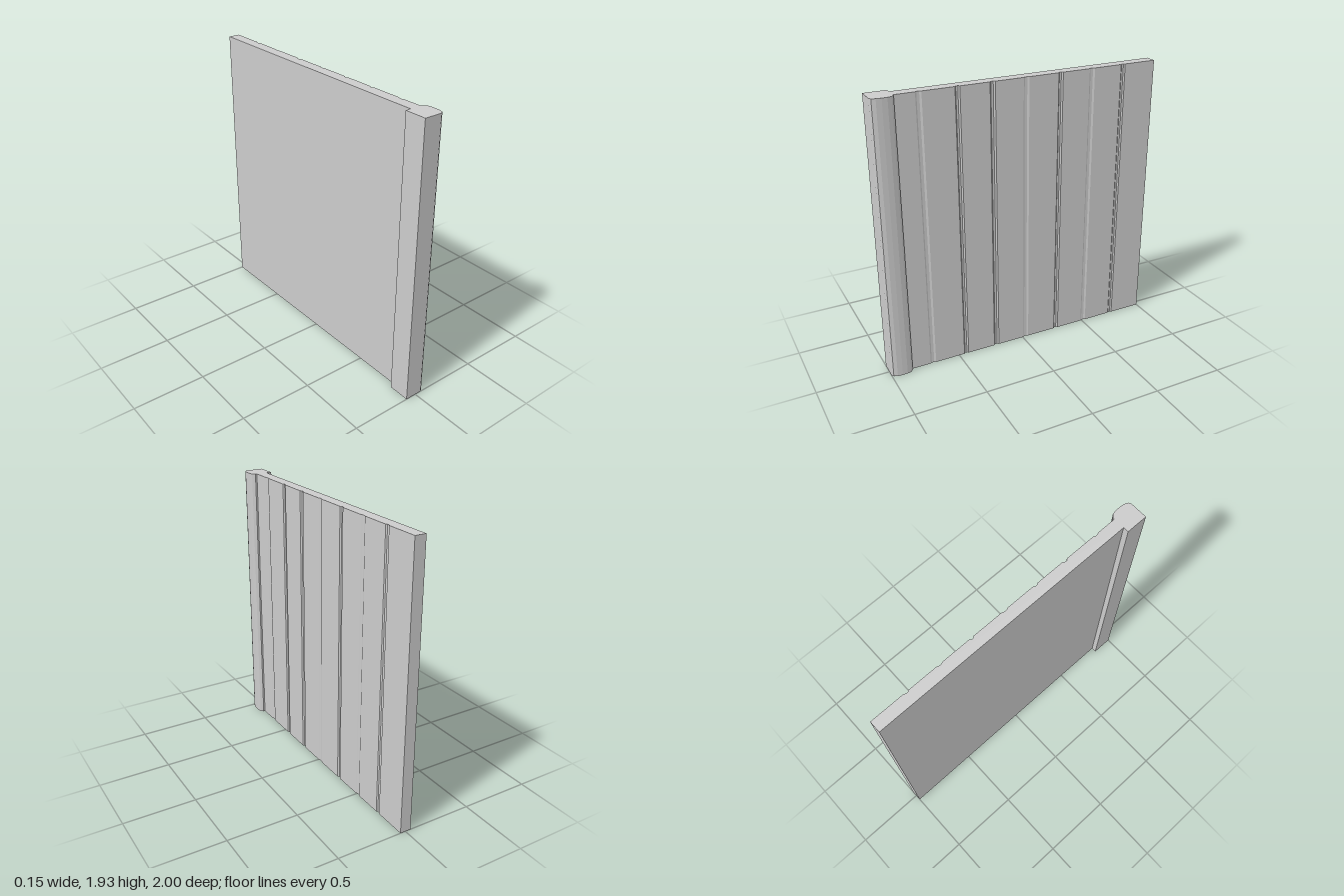
import * as THREE from 'three';

const HEIGHT = 1.93;

// Extrudes a plan outline, given as [x, z] points, straight up from the ground
function upright(name, plan, material) {
  const shape = new THREE.Shape(plan.map(([x, z]) => new THREE.Vector2(x, -z)));
  const geometry = new THREE.ExtrudeGeometry(shape, { depth: HEIGHT, bevelEnabled: false });
  geometry.rotateX(-Math.PI / 2);
  const mesh = new THREE.Mesh(geometry, material);
  mesh.name = name;
  return mesh;
}

export function createModel() {
  const group = new THREE.Group();
  group.name = 'plankWall';
  const material = new THREE.MeshStandardMaterial({ color: 0xcccccc, flatShading: true });

  // Plank wall: flat on one side, worn joints between planks on the other
  // Each joint: z position, half width, depth
  const joints = [
    [0.695, 0.02, 0.006], [0.445, 0.016, 0.009], [0.21, 0.018, 0.008], [-0.025, 0.02, 0.006],
    [-0.275, 0.016, 0.009], [-0.51, 0.02, 0.006], [-0.75, 0.016, 0.007],
  ];
  const face = 0.038;
  const wall = [[-0.04, 0.87], [face, 0.87]];
  for (const [z, half, depth] of joints) {
    wall.push([face, z + half], [face - depth, z + half * 0.5], [face - depth, z - half * 0.4], [face, z - half]);
  }
  wall.push([face, -1], [-0.04, -1]);
  group.add(upright('plankPanel', wall, material));

  // End post: square on the flat side, worn round on the plank side
  const post = [
    [-0.077, 0.85], [-0.077, 1], [0.045, 1], [0.062, 0.99], [0.072, 0.965],
    [0.075, 0.93], [0.074, 0.895], [0.068, 0.868], [0.05, 0.85],
  ];
  group.add(upright('endPost', post, material));
  return group;
}
